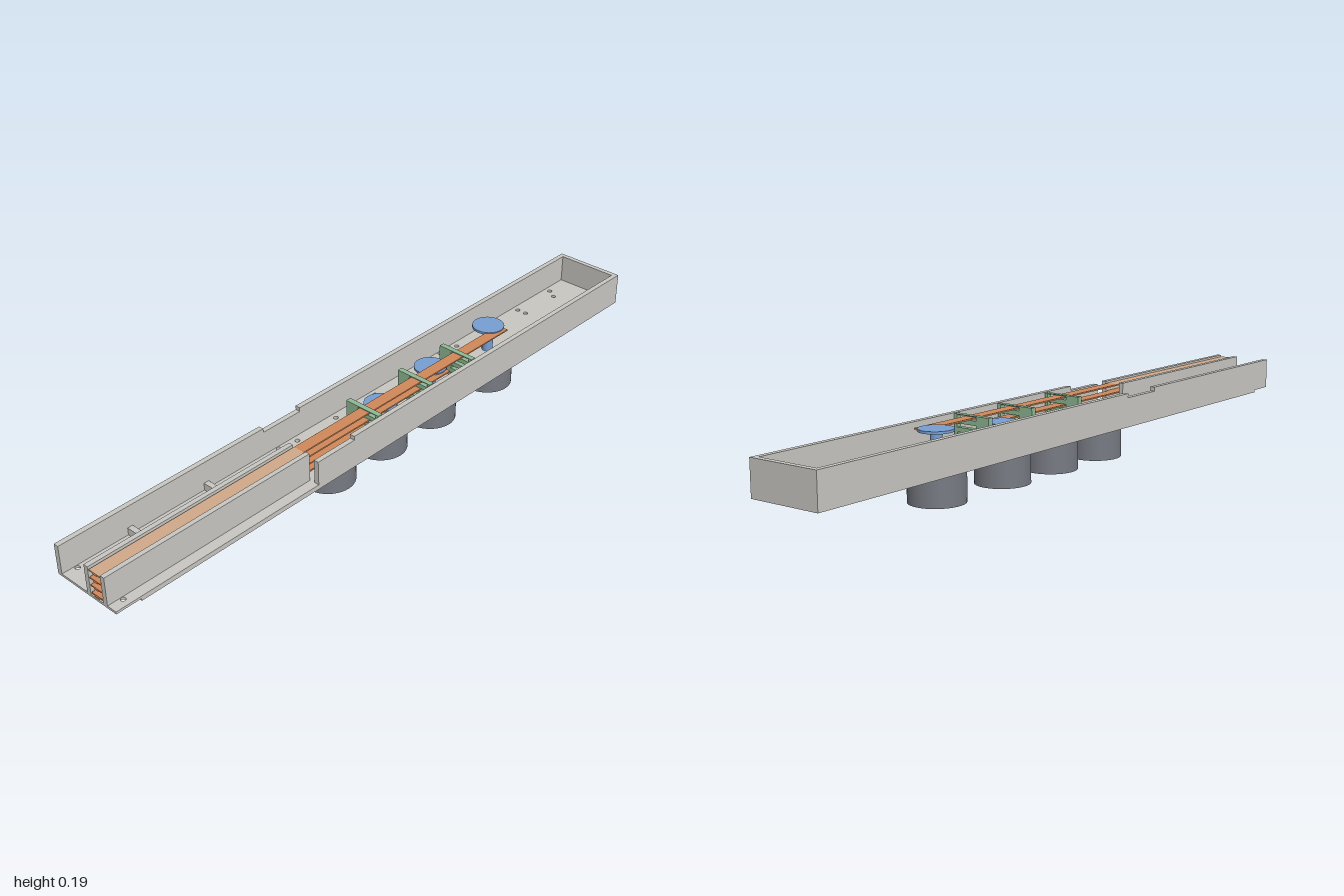
import * as THREE from 'three';

const mat = (name, color) => {
  const m = new THREE.MeshStandardMaterial({ color });
  m.name = name;
  return m;
};

export function createModel() {
  const model = new THREE.Group();
  const grey = mat('housing grey', 0xc8c7c2);
  const dark = mat('motor grey', 0x777a82);
  const blue = mat('pulley blue', 0x779fd3);
  const orange = mat('bar orange', 0xd0885a);
  const tan = mat('guided bar tan', 0xd2a98a);
  const green = mat('guide green', 0x8fb895);

  const add = (name, geo, material, x = 0, y = 0, z = 0) => {
    const mesh = new THREE.Mesh(geo, material);
    mesh.name = name;
    mesh.position.set(x, y, z);
    model.add(mesh);
    return mesh;
  };
  // box given by its limits on each axis
  const block = (name, material, x0, x1, y0, y1, z0, z1) =>
    add(name, new THREE.BoxGeometry(x1 - x0, y1 - y0, z1 - z0), material,
      (x0 + x1) / 2, (y0 + y1) / 2, (z0 + z1) / 2);
  const rect = (Kind, x0, x1, y0, y1) => {
    const p = new Kind();
    p.moveTo(x0, y0);
    p.lineTo(x1, y0);
    p.lineTo(x1, y1);
    p.lineTo(x0, y1);
    p.closePath();
    return p;
  };

  const L = -0.108, R = 0.108, T = 0.015;
  const BASE = 0.093, FLOOR = 0.107, TOP = 0.19;

  // floor plate with drilled screw holes
  const floorShape = rect(THREE.Shape, L, R, -0.925, 1);
  const holes = [
    [-0.075, -0.9], [0.07, -0.9], [-0.045, -0.88], [-0.075, -0.735], [-0.045, -0.735],
    [-0.075, -0.61], [0.07, -0.61], [0.07, -0.55], [-0.075, -0.44], [0.08, -0.455],
    [-0.075, -0.29], [0.075, -0.23], [-0.075, -0.08], [0.075, -0.03], [-0.075, 0.08],
    [0.075, 0.14], [-0.075, 0.23],
  ];
  for (const z of [-0.375, 0.29]) for (const x of [-0.085, -0.04, 0.06, 0.085]) holes.push([x, z]);
  const drill = (shape, x, z) => {
    const h = new THREE.Path();
    h.absarc(x, -z, 0.007, 0, Math.PI * 2, true);
    shape.holes.push(h);
  };
  holes.forEach(([x, z]) => drill(floorShape, x, z));
  const plate = (name, shape, depth, y) => {
    const geo = new THREE.ExtrudeGeometry(shape, { depth, bevelEnabled: false, curveSegments: 6 });
    add(name, geo.rotateX(-Math.PI / 2), grey, 0, y, 0);
  };
  plate('floor', floorShape, FLOOR - BASE, BASE);

  // thinner lip at the front end
  const lip = rect(THREE.Shape, L, R, -1, -0.925);
  for (const x of [-0.085, -0.04, 0.085]) drill(lip, x, 0.96);
  plate('frontLip', lip, FLOOR - 0.1, 0.1);

  // side walls with a shallow notch, drawn along z and stood upright
  const wall = (name, x, front) => {
    const s = new THREE.Shape();
    s.moveTo(1, FLOOR);
    s.lineTo(1, TOP);
    s.lineTo(-0.2, TOP);
    s.lineTo(-0.2, 0.178);
    s.lineTo(-0.335, 0.178);
    if (front > 0.4) {
      s.lineTo(-0.335, TOP);
      s.lineTo(-front, TOP);
    }
    s.lineTo(-front, FLOOR);
    s.closePath();
    const geo = new THREE.ExtrudeGeometry(s, { depth: T, bevelEnabled: false });
    add(name, geo.rotateY(Math.PI / 2), grey, x, 0, 0);
  };
  wall('rightWall', L, 1);
  wall('leftWall', R - T, 0.335);
  block('rearWall', grey, L + T, R - T, FLOOR, TOP, -1, -1 + T);

  // front bar channel and its cross ribs
  block('channelInnerWall', grey, 0.003, 0.017, FLOOR, TOP, 0.335, 1);
  block('channelOuterWall', grey, 0.063, 0.077, FLOOR, TOP, 0.335, 1);
  for (const z of [0.54, 0.79]) block('crossRib', grey, L + T, 0.003, FLOOR, 0.128, z - 0.008, z + 0.008);

  // four drives, each pulley level with its own bar
  const motorZ = [0.19, -0.02, -0.23, -0.49];
  motorZ.forEach((z, i) => {
    const y = 0.115 + i * 0.0227;
    add('motor', new THREE.CylinderGeometry(0.076, 0.076, BASE, 40), dark, 0, BASE / 2, z);
    add('shaft', new THREE.CylinderGeometry(0.016, 0.016, y - FLOOR, 20), blue, 0, (y + FLOOR) / 2, z);
    add('pulley', new THREE.CylinderGeometry(0.047, 0.047, 0.007, 36), blue, 0, y + 0.0015, z);
    for (const s of [1, -1]) {
      add('motorScrew', new THREE.CylinderGeometry(0.016, 0.016, 0.005, 16), dark,
        s * 0.072, BASE - 0.0025, z - s * 0.055);
    }
    // bar with a raised centre rib
    const front = i === 3 ? tan : orange;
    block('bar', orange, 0.021, 0.056, y - 0.002, y + 0.002, z - 0.02, 0.335);
    block('barFront', front, 0.021, 0.06, y - 0.002, y + 0.002, 0.335, 1);
    block('barRib', orange, 0.032, 0.048, y - 0.005, y - 0.002, z - 0.02, 1);
  });

  // guide plates with one slot per bar
  for (const z of [-0.31, -0.13, 0.08]) {
    const s = rect(THREE.Shape, -0.027, 0.09, FLOOR, 0.189);
    for (let i = 0; i < 4; i++) {
      const y = 0.115 + i * 0.0227;
      s.holes.push(rect(THREE.Path, 0.016, 0.08, y - 0.0065, y + 0.0035));
    }
    const geo = new THREE.ExtrudeGeometry(s, { depth: 0.016, bevelEnabled: false });
    add('barGuide', geo, green, 0, 0, z - 0.008);
  }

  return model;
}
